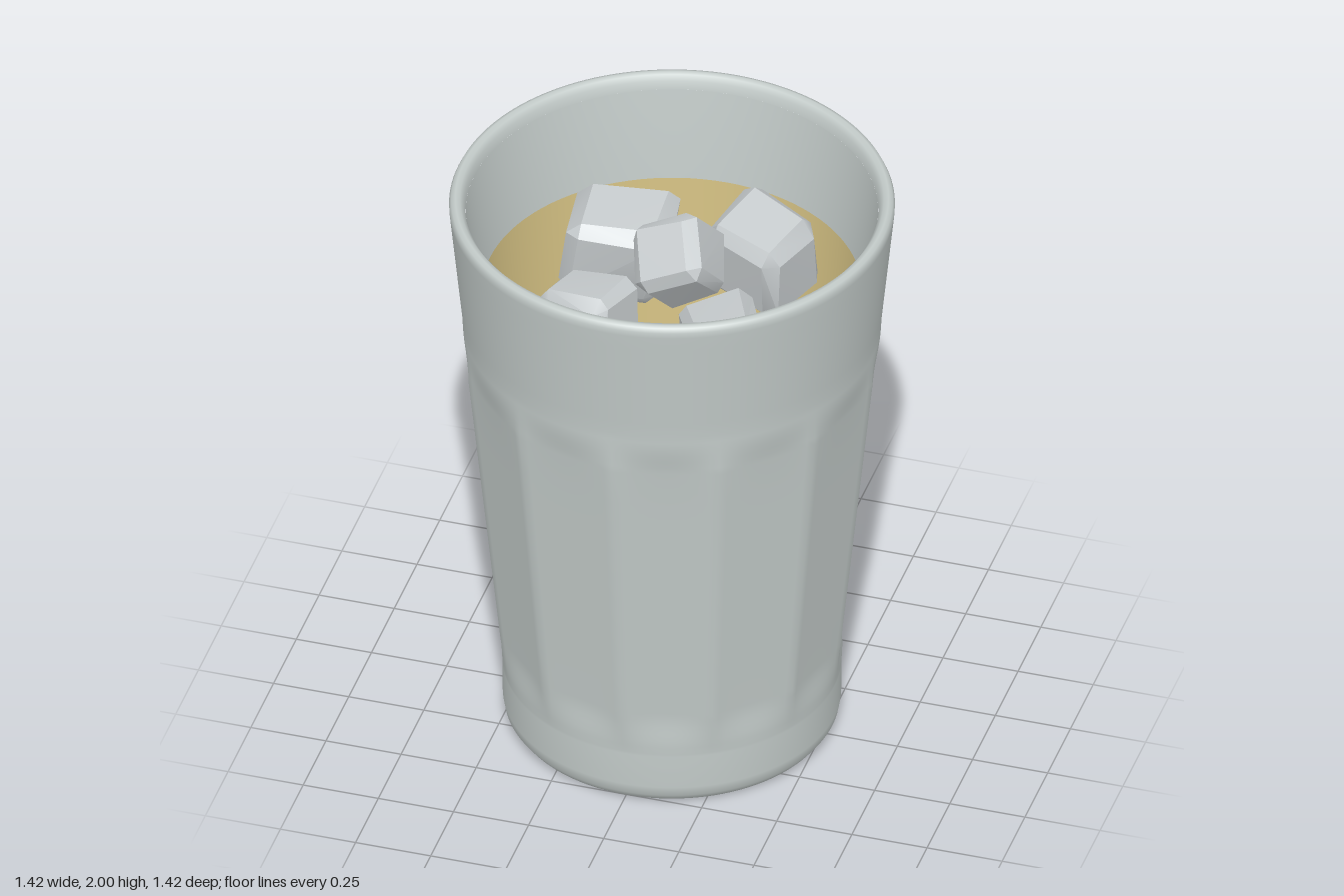
import * as THREE from 'three';
import { mergeVertices, toCreasedNormals } from 'three/addons/utils/BufferGeometryUtils.js';
import { ConvexGeometry } from 'three/addons/geometries/ConvexGeometry.js';

const SIDES = 12;

function lathe(profile, segments) {
  return new THREE.LatheGeometry(profile.map(([r, y]) => new THREE.Vector2(r, y)), segments);
}

// Shares vertices across the lathe seam so the shading is continuous
function smooth(geometry) {
  geometry.deleteAttribute('uv');
  geometry.deleteAttribute('normal');
  const merged = mergeVertices(geometry, 1e-4);
  merged.computeVertexNormals();
  return merged;
}

// Presses flat panels into the outer wall, fading out above and below
function facetWall(geometry) {
  const p = geometry.attributes.position;
  const step = (2 * Math.PI) / SIDES;
  for (let i = 0; i < p.count; i++) {
    const x = p.getX(i), y = p.getY(i), z = p.getZ(i);
    const angle = Math.atan2(x, z) + 2 * Math.PI;
    const flat = Math.cos(step / 2) / Math.cos((angle % step) - step / 2);
    const fade = THREE.MathUtils.smoothstep(y, 0.2, 0.36) * (1 - THREE.MathUtils.smoothstep(y, 1.34, 1.52));
    const k = 1 + (flat - 1) * fade;
    p.setXYZ(i, x * k, y, z * k);
  }
}

function glassGeometry() {
  // Underside with a shallow recess, foot and outer wall
  const outer = [[0, 0.02], [0.3, 0.02], [0.33, 0.012], [0.42, 0.01], [0.45, 0], [0.49, 0],
    [0.515, 0.01], [0.533, 0.035], [0.539, 0.07], [0.54, 0.19]];
  const wall = [[0.2, 0.54], [0.36, 0.561], [1.38, 0.665], [1.54, 0.667], [1.96, 0.709]];
  for (let i = 0; i < wall.length - 1; i++) {
    const [y0, r0] = wall[i], [y1, r1] = wall[i + 1];
    const n = i === 0 || i === 2 ? 6 : 8;
    for (let j = 0; j < n; j++) outer.push([r0 + (r1 - r0) * j / n, y0 + (y1 - y0) * j / n]);
  }
  // Rounded lip
  outer.push([0.709, 1.96], [0.71, 1.98], [0.703, 1.995], [0.69, 2], [0.675, 1.996], [0.662, 1.98], [0.657, 1.95]);
  const shell = lathe(outer, 144);
  facetWall(shell);
  const inner = lathe([[0.657, 1.95], [0.614, 1.64], [0.55, 0.9], [0.49, 0.22], [0.475, 0.15], [0.44, 0.12], [0, 0.12]], 96);
  return [smooth(shell), smooth(inner)];
}

// Bevelled block with slightly uneven corners
function iceGeometry(w, h, d, seed) {
  let s = seed;
  const rand = () => (s = (s * 16807) % 2147483647) / 2147483647 - 0.5;
  const points = [];
  for (const sx of [-1, 1]) for (const sy of [-1, 1]) for (const sz of [-1, 1]) {
    const shrink = 0.96 + rand() * 0.12;
    for (let axis = 0; axis < 3; axis++) {
      const k = [0, 1, 2].map((a) => (a === axis ? 1 : 0.7 + rand() * 0.16) * shrink);
      points.push(new THREE.Vector3(sx * k[0] * w / 2, sy * k[1] * h / 2, sz * k[2] * d / 2));
    }
  }
  return toCreasedNormals(new ConvexGeometry(points), 0.55);
}

export function createModel() {
  const group = new THREE.Group();
  const glass = new THREE.MeshStandardMaterial({ color: 0xc3cbc9 });
  glass.name = 'clear glass';
  const drink = new THREE.MeshStandardMaterial({ color: 0xd2bf82, side: THREE.DoubleSide });
  drink.name = 'amber drink';
  const ice = new THREE.MeshStandardMaterial({ color: 0xc6cbcd });
  ice.name = 'ice';

  const add = (name, geometry, material) => {
    const mesh = new THREE.Mesh(geometry, material);
    mesh.name = name;
    group.add(mesh);
    return mesh;
  };

  // Tumbler
  const [outer, inner] = glassGeometry();
  add('tumblerOuter', outer, glass);
  add('tumblerInner', inner, glass);

  // Drink lining the inside, open at the surface
  add('drink', smooth(lathe([[0, 0.15], [0.4, 0.15], [0.44, 0.16], [0.465, 0.19], [0.48, 0.25],
    [0.54, 0.9], [0.605, 1.64]], 96)), drink);

  // Ice cubes: position, size, rotation
  const cubes = [
    [[-0.25, 1.61, -0.235], [0.34, 0.32, 0.3], [0.12, 0.15, -0.12]],
    [[0.225, 1.65, -0.25], [0.31, 0.32, 0.27], [0.15, -0.42, -0.1]],
    [[0.03, 1.77, 0.01], [0.24, 0.26, 0.24], [0.6, 0.4, 0.55]],
    [[-0.215, 1.62, 0.215], [0.27, 0.28, 0.24], [-0.12, -0.25, 0.12]],
    [[0.24, 1.6, 0.22], [0.32, 0.3, 0.25], [0.1, -1.08, 0.15]],
  ];
  cubes.forEach(([pos, size, rot], i) => {
    const cube = add('iceCube' + (i + 1), iceGeometry(...size, 1237 + i * 911), ice);
    cube.position.set(...pos);
    cube.rotation.set(rot[0], rot[1], rot[2], 'YXZ');
  });
  return group;
}
